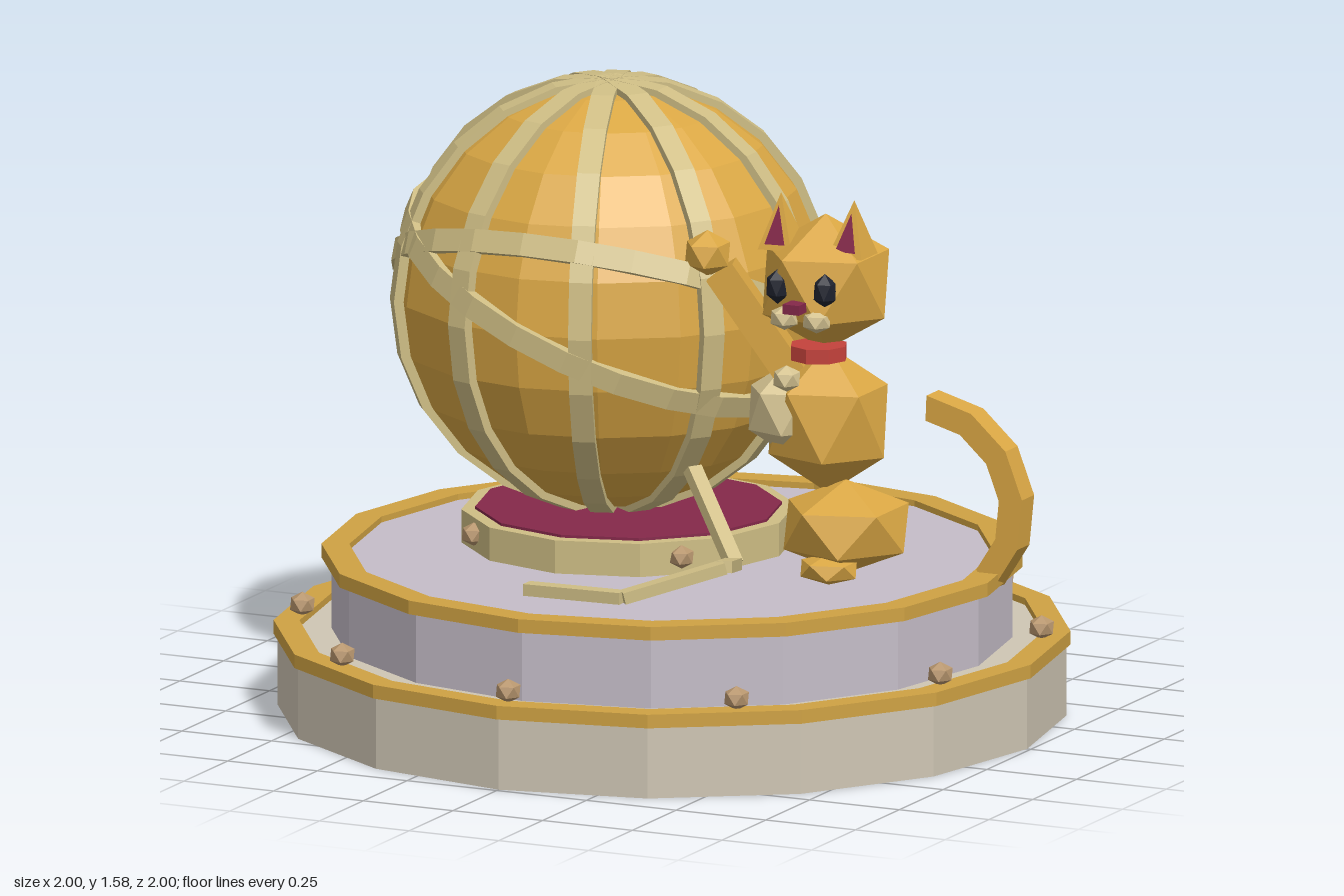
import * as THREE from 'three';

const paint = (name, color) => {
  const m = new THREE.MeshStandardMaterial({ color, flatShading: true });
  m.name = name;
  return m;
};

export function createModel() {
  const root = new THREE.Group();
  const stone = paint('warm stone', 0xcfc6b4);
  const lavender = paint('pale lavender', 0xc5bdc8);
  const trim = paint('trim gold', 0xcfa243);
  const gold = paint('gold', 0xdaa744);
  const ribbon = paint('ribbon straw', 0xcfbe85);
  const burgundy = paint('burgundy', 0x85284a);
  const bronze = paint('stud bronze', 0xb8966e);
  const red = paint('collar red', 0xc4423c);
  const navy = paint('eye navy', 0x20232f);
  const cream = paint('cream', 0xd6c492);

  const add = (name, geo, mat, x = 0, y = 0, z = 0, parent = root) => {
    const m = new THREE.Mesh(geo, mat);
    m.name = name;
    m.position.set(x, y, z);
    parent.add(m);
    return m;
  };
  // upright drum between two heights
  const drum = (name, mat, r, y0, y1, sides, x = 0, z = 0) =>
    add(name, new THREE.CylinderGeometry(r, r, y1 - y0, sides), mat, x, (y0 + y1) / 2, z);
  // ring with a rectangular section
  const ringGeo = (inner, outer, h, sides) => new THREE.LatheGeometry(
    [[outer, -h / 2], [outer, h / 2], [inner, h / 2], [inner, -h / 2], [outer, -h / 2]]
      .map(p => new THREE.Vector2(...p)), sides);
  // faceted lump with the given half sizes, one corner pointing up
  const lump = (name, mat, x, y, z, rx, ry, rz) => {
    const g = new THREE.IcosahedronGeometry(1, 0).rotateZ(0.554);
    g.scale(rx / 0.894, ry, rz / 0.851);
    return add(name, g, mat, x, y, z);
  };
  // square bar between two points
  const bar = (name, mat, a, b, w, d) => {
    const p = new THREE.Vector3(...a), q = new THREE.Vector3(...b);
    const mid = p.clone().add(q).multiplyScalar(0.5);
    const m = add(name, new THREE.BoxGeometry(w, d, p.distanceTo(q)), mat, mid.x, mid.y, mid.z);
    m.lookAt(q);
    return m;
  };

  // two-tier plinth with gold rims
  drum('lowerBase', stone, 0.99, 0, 0.2, 16);
  add('lowerRim', ringGeo(0.935, 1, 0.035, 16), trim, 0, 0.2, 0);
  drum('upperBase', lavender, 0.855, 0.19, 0.4, 16);
  add('upperRim', ringGeo(0.81, 0.88, 0.035, 16), trim, 0, 0.398, 0);

  // studs around the ledge
  for (let i = 0; i < 10; i++) {
    const a = i / 10 * Math.PI * 2;
    lump('ledgeStud', bronze, 0.935 * Math.sin(a), 0.243, -0.935 * Math.cos(a), 0.031, 0.031, 0.031);
  }

  // ball stand with cushion
  const sx = -0.17, sz = -0.1;
  drum('ballStand', ribbon, 0.42, 0.39, 0.485, 12, sx, sz);
  drum('cushion', burgundy, 0.385, 0.45, 0.492, 12, sx, sz);
  for (let i = 0; i < 4; i++) {
    const a = (i + 0.5) * Math.PI / 2;
    lump('standStud', bronze, sx + 0.41 * Math.cos(a), 0.445, sz + 0.41 * Math.sin(a), 0.03, 0.03, 0.03);
  }

  // ball wrapped in bands
  const ball = new THREE.Group();
  ball.name = 'yarnBall';
  ball.position.set(-0.235, 1.025, -0.13);
  root.add(ball);
  add('ballCore', new THREE.SphereGeometry(0.54, 16, 12), gold, 0, 0, 0, ball);
  const bandGeo = ringGeo(0.515, 0.556, 0.058, 24);
  for (let i = 0; i < 5; i++) {
    const b = add('meridianBand', bandGeo, ribbon, 0, 0, 0, ball);
    b.rotation.set(Math.PI / 2, i * Math.PI / 5, 0, 'YXZ');
  }
  add('sideTiltBand', bandGeo, ribbon, 0, 0, 0, ball).rotation.z = -0.42;
  add('frontTiltBand', bandGeo, ribbon, 0, 0, 0, ball).rotation.x = -0.42;

  // loose end of the yarn
  const strand = [[0.14, 0.67, 0.17], [0.3, 0.46, 0.26], [0.37, 0.5, 0.46], [0.17, 0.437, 0.63], [-0.1, 0.432, 0.625]];
  for (let i = 0; i < 4; i++) bar('looseStrand', ribbon, strand[i], strand[i + 1], 0.04, 0.03);

  // cat body
  lump('haunches', gold, 0.51, 0.535, 0.05, 0.16, 0.12, 0.15);
  lump('foot', gold, 0.51, 0.445, 0.15, 0.075, 0.04, 0.06);
  lump('torso', gold, 0.45, 0.8, 0.03, 0.155, 0.19, 0.135);
  lump('chest', cream, 0.36, 0.83, 0.09, 0.095, 0.115, 0.085);
  bar('frontArm', gold, [0.39, 0.93, 0.11], [0.22, 1.19, 0.17], 0.08, 0.08);
  lump('frontPaw', gold, 0.187, 1.23, 0.18, 0.057, 0.06, 0.057);
  bar('backArm', gold, [0.385, 0.91, -0.1], [0.26, 1.03, -0.1], 0.08, 0.08);

  // collar and bell
  drum('collar', red, 0.074, 0.98, 1.017, 8, 0.475, 0.135);
  lump('bell', cream, 0.42, 0.937, 0.205, 0.034, 0.034, 0.034);

  // head and face
  lump('head', gold, 0.468, 1.165, 0.08, 0.163, 0.175, 0.148);
  const earTri = new THREE.Shape([[-0.028, 0.015], [0.028, 0.015], [0, 0.115]].map(p => new THREE.Vector2(...p)));
  for (const s of [-1, 1]) {
    const ear = new THREE.Group();
    ear.name = 'ear';
    ear.position.set(0.46 + s * 0.1, 1.32, 0.11);
    ear.rotation.z = -s * 0.03;
    root.add(ear);
    add('earShell', new THREE.ConeGeometry(0.066, 0.14, 4).rotateY(Math.PI / 4), gold, 0, 0, 0, ear);
    add('innerEar', new THREE.ShapeGeometry(earTri), burgundy, 0, -0.07, 0.051, ear).rotation.x = -0.322;
    lump('eye', navy, 0.462 + s * 0.066, 1.172, 0.208, 0.029, 0.045, 0.026);
    lump('muzzle', cream, 0.462 + s * 0.045, 1.095, 0.212, 0.036, 0.032, 0.032);
  }
  add('nose', new THREE.BoxGeometry(0.045, 0.025, 0.05), burgundy, 0.462, 1.13, 0.243);

  // curled tail
  const arc = r => Array.from({ length: 6 }, (_, i) => {
    const a = -0.8 + i / 5 * 2.33;
    return new THREE.Vector2(r * Math.cos(a), r * Math.sin(a));
  });
  const tail = new THREE.Shape([...arc(0.28), ...arc(0.215).reverse()]);
  add('tail', new THREE.ExtrudeGeometry(tail, { depth: 0.07, bevelEnabled: false }), gold, 0.65, 0.575, -0.168);

  return root;
}
